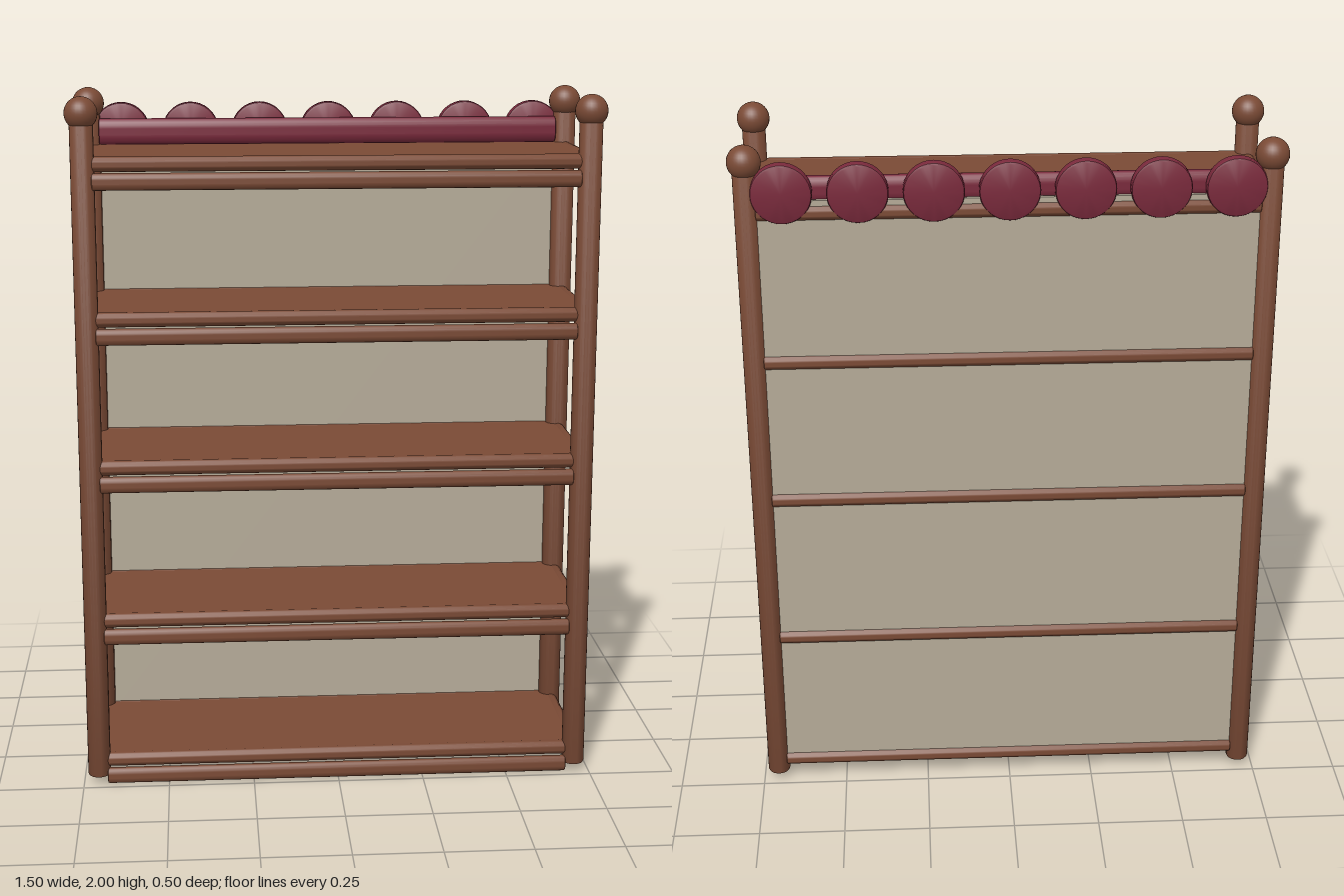
import * as THREE from 'three';
import { toCreasedNormals } from 'three/addons/utils/BufferGeometryUtils.js';

const wood = new THREE.MeshStandardMaterial({ color: 0x7a4a35 });
wood.name = 'brown wood';
const crimson = new THREE.MeshStandardMaterial({ color: 0x7a2a3c });
crimson.name = 'crimson';
const canvas = new THREE.MeshStandardMaterial({ color: 0xb5ab98 });
canvas.name = 'beige panel';

// Round bar along y, centred, with softly bevelled ends
function rodGeometry(radius, length, bevel, segments = 24) {
  const h = length / 2;
  const profile = [
    [0, -h], [radius - bevel, -h], [radius - bevel * 0.3, -h + bevel * 0.3], [radius, -h + bevel],
    [radius, h - bevel], [radius - bevel * 0.3, h - bevel * 0.3], [radius - bevel, h], [0, h],
  ].map(([x, y]) => new THREE.Vector2(x, y));
  return toCreasedNormals(new THREE.LatheGeometry(profile, segments), 0.7);
}

export function createModel() {
  const model = new THREE.Group();
  model.name = 'bookshelf';

  function add(name, geometry, material, x, y, z) {
    const mesh = new THREE.Mesh(geometry, material);
    mesh.name = name;
    mesh.position.set(x, y, z);
    model.add(mesh);
    return mesh;
  }

  const postX = 0.705, postZ = 0.205;

  // Corner posts with ball finials
  const post = rodGeometry(0.033, 1.92, 0.008);
  const ball = new THREE.SphereGeometry(0.046, 28, 18);
  for (const x of [-postX, postX]) {
    for (const z of [-postZ, postZ]) {
      add('post', post, wood, x, 0.983, z);
      add('finial', ball, wood, x, 1.954, z);
    }
  }

  // Shelves: board, round edge rails and a lower lip along the front
  const board = new THREE.BoxGeometry(1.42, 0.038, 0.41);
  const longRail = rodGeometry(0.021, 1.36, 0.005).rotateZ(Math.PI / 2);
  const sideRail = rodGeometry(0.021, 0.355, 0.005).rotateX(Math.PI / 2);
  const lip = rodGeometry(0.024, 1.36, 0.005).rotateZ(Math.PI / 2);
  lip.scale(1, 1, 0.64);
  for (const y of [0.071, 0.5, 0.955, 1.382, 1.815]) {
    add('shelfBoard', board, wood, 0, y, 0);
    add('frontRail', longRail, wood, 0, y, 0.205);
    add('backRail', longRail, wood, 0, y, -0.214);
    for (const x of [-postX, postX]) add('sideRail', sideRail, wood, x, y, 0);
    add('frontLip', lip, wood, 0, y - 0.047, 0.217);
  }

  // Back panel
  add('backPanel', new THREE.BoxGeometry(1.36, 1.79, 0.012), canvas, 0, 0.955, -0.216);

  // Crimson crest: oval bar with a row of discs behind it
  const crest = rodGeometry(0.038, 1.35, 0.005).rotateZ(Math.PI / 2);
  crest.scale(1, 1, 0.52);
  add('crestBar', crest, crimson, 0, 1.872, -0.189);
  const disc = rodGeometry(0.083, 0.035, 0.008, 36).rotateX(Math.PI / 2);
  for (let i = -3; i <= 3; i++) add('crestDisc', disc, crimson, i * 0.2033, 1.872, -0.222);

  return model;
}
